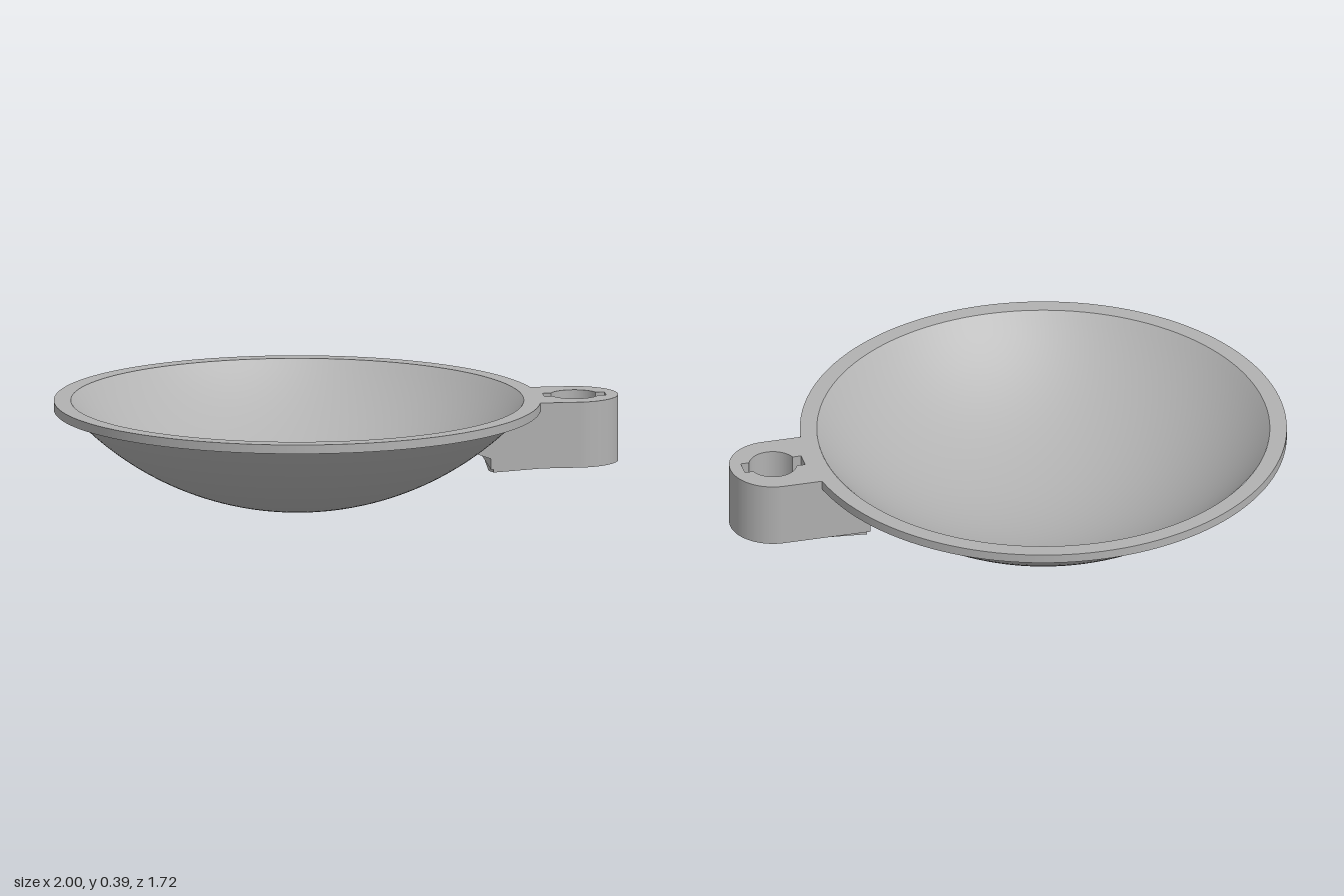
import * as THREE from 'three';
import { ConvexGeometry } from 'three/addons/geometries/ConvexGeometry.js';

const CX = -0.14, TOP = 0.385, LIP = 0.353, BASE = 0.15;
const SPHERE_Y = 1.09, R_OUT = 1.09, R_IN = 1.066;
const LUG_X = 0.845, LUG_R = 0.155;

// Height of a spherical dish surface at distance r from the axis
const dishY = (r, R) => SPHERE_Y - Math.sqrt(R * R - r * r);

// Points along a dish surface between two distances from the axis
function dishArc(from, to, R, n) {
  return Array.from({ length: n + 1 }, (_, i) => {
    const r = from + (to - from) * i / n;
    return new THREE.Vector2(r, dishY(r, R));
  });
}

export function createModel() {
  const group = new THREE.Group();
  const grey = new THREE.MeshStandardMaterial({ color: 0xb2b2b2 });
  grey.name = 'grey';

  const add = (name, geometry, parent = group) => {
    const mesh = new THREE.Mesh(geometry, grey);
    mesh.name = name;
    parent.add(mesh);
    return mesh;
  };

  // Dish: separate lathes keep the rim edges sharp
  const dish = new THREE.Group();
  dish.name = 'dish';
  dish.position.x = CX;
  group.add(dish);
  const v = (x, y) => new THREE.Vector2(x, y);
  const lathe = (name, pts) => add(name, new THREE.LatheGeometry(pts, 128), dish);
  lathe('bowlOutside', dishArc(0, 0.804, R_OUT, 32));
  lathe('rimUnderside', [v(0.804, LIP), v(0.86, LIP)]);
  lathe('rimEdge', [v(0.86, LIP), v(0.86, TOP)]);
  lathe('rimTop', [v(0.86, TOP), v(0.80, TOP)]);
  lathe('bowlInside', dishArc(0.80, 0, R_IN, 32));

  // Neck: its inner side follows the dish wall, with a small step below
  const neckShape = new THREE.Shape([
    ...dishArc(0.61, 0.80, 1.071, 12).map(p => v(p.x + CX, p.y)),
    v(0.70, TOP), v(0.70, BASE), v(0.53, BASE), v(0.53, 0.188),
  ]);
  const neck = new THREE.ExtrudeGeometry(neckShape, { depth: 2 * LUG_R, bevelEnabled: false });
  neck.translate(0, 0, -LUG_R);
  add('lugNeck', neck);

  // Round-ended lug with a keyed socket
  const lugShape = new THREE.Shape();
  lugShape.moveTo(0.70, -LUG_R);
  lugShape.lineTo(LUG_X, -LUG_R);
  lugShape.absarc(LUG_X, 0, LUG_R, -Math.PI / 2, Math.PI / 2, false);
  lugShape.lineTo(0.70, LUG_R);
  lugShape.closePath();

  const hole = new THREE.Path();
  const holeR = 0.085, keyX = 0.11, keyZ = 0.03;
  const a = Math.asin(keyZ / holeR);
  hole.moveTo(LUG_X + keyX, -keyZ);
  hole.lineTo(LUG_X + keyX, keyZ);
  hole.absarc(LUG_X, 0, holeR, a, Math.PI - a, false);
  hole.lineTo(LUG_X - keyX, keyZ);
  hole.lineTo(LUG_X - keyX, -keyZ);
  hole.absarc(LUG_X, 0, holeR, Math.PI + a, 2 * Math.PI - a, false);
  hole.closePath();

  const slab = (name, shape, y0, y1) => {
    const g = new THREE.ExtrudeGeometry(shape, {
      depth: y1 - y0, bevelEnabled: false, curveSegments: 32,
    });
    g.rotateX(-Math.PI / 2);
    g.translate(0, y0, 0);
    add(name, g);
  };
  slab('socketFloor', lugShape.clone(), BASE, 0.18);
  lugShape.holes.push(hole);
  slab('lug', lugShape, 0.18, TOP);

  // Shallow ridged wedge under the neck
  const wedge = [[0.54, 0.117, 0], [0.82, 0.143, 0]];
  for (const s of [-1, 1]) {
    wedge.push([0.54, 0.152, s * 0.15], [0.54, 0.138, s * 0.15],
      [0.76, 0.152, s * 0.15], [0.82, 0.152, s * 0.08]);
  }
  add('undersideWedge', new ConvexGeometry(wedge.map(p => new THREE.Vector3(...p))));

  return group;
}
